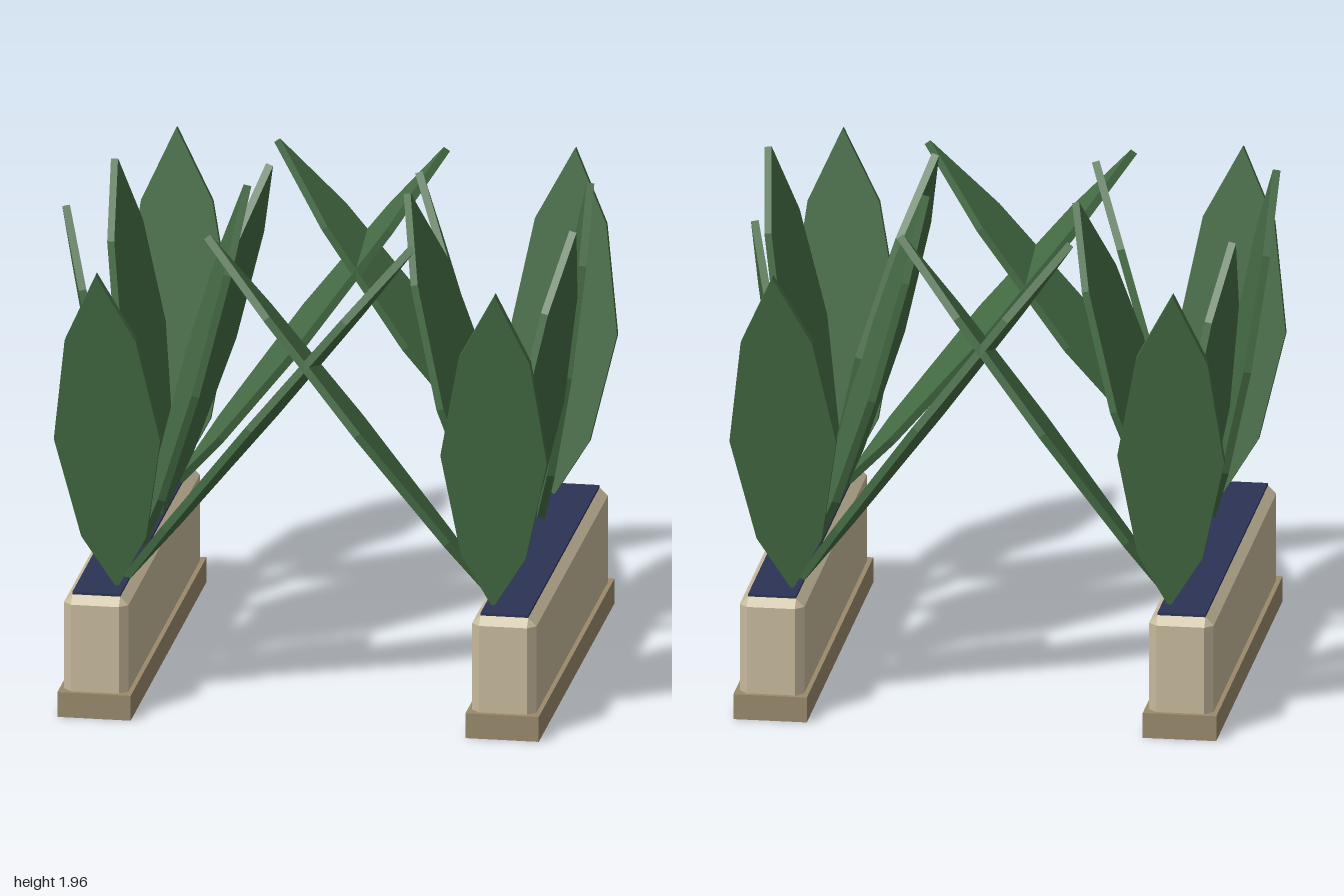
import * as THREE from 'three';
import { ConvexGeometry } from 'three/addons/geometries/ConvexGeometry.js';

const material = (name, color) => {
  const m = new THREE.MeshStandardMaterial({ color });
  m.name = name;
  return m;
};

// Box with every edge cut at 45 degrees
function chamferedBox(w, h, d, c) {
  const points = [];
  for (const x of [-1, 1]) for (const y of [-1, 1]) for (const z of [-1, 1]) {
    for (let full = 0; full < 3; full++) {
      const inset = [0, 1, 2].map((axis) => (axis === full ? 0 : c));
      points.push(new THREE.Vector3(
        x * (w / 2 - inset[0]), y * (h / 2 - inset[1]), z * (d / 2 - inset[2])));
    }
  }
  return new ConvexGeometry(points);
}

// Pointed, flat leaf blade standing on its lower tip
function leafGeometry(length, halfWidth, thickness) {
  const side = [[0.61, 0.165], [1, 0.475], [0.67, 0.79]];
  const right = side.map(([w, t]) => [w * halfWidth, t * length]);
  const left = right.map(([w, y]) => [-w, y]).reverse();
  const outline = [[0, 0], ...right, [0, length], ...left];
  const shape = new THREE.Shape(outline.map(([x, y]) => new THREE.Vector2(x, y)));
  return new THREE.ExtrudeGeometry(shape, { depth: thickness, bevelEnabled: false })
    .translate(0, 0, -thickness / 2);
}

// Blade from base to tip; across is the rough direction of its width
function makeLeaf(base, tip, across, halfWidth, mat) {
  const axis = tip.clone().sub(base);
  const length = axis.length();
  axis.normalize();
  const width = across.clone().addScaledVector(axis, -across.dot(axis)).normalize();
  const normal = width.clone().cross(axis);
  const leaf = new THREE.Mesh(leafGeometry(length, halfWidth, 0.03), mat);
  leaf.quaternion.setFromRotationMatrix(new THREE.Matrix4().makeBasis(width, axis, normal));
  leaf.position.copy(base);
  return leaf;
}

// Leaves of the left planter: base, tip, width direction, half width
const LEAVES = [
  ['frontEndLeaf', [0.73, 0.48, 0.7], [0.775, 1.81, 0.93], [1, 0, 0], 0.207],
  ['backEndLeaf', [0.73, 0.48, -0.7], [0.775, 1.81, -0.93], [1, 0, 0], 0.207],
  ['frontOuterLeaf', [0.73, 0.48, 0.38], [0.985, 1.9, 0.38], [-0.25, 0, 1], 0.215],
  ['backOuterLeaf', [0.73, 0.48, -0.38], [0.925, 1.85, -0.38], [-0.25, 0, -1], 0.207],
  ['frontInnerLeaf', [0.72, 0.48, 0.2], [0.31, 1.96, 0.2], [-0.24, 0, 1], 0.23],
  ['backInnerLeaf', [0.72, 0.48, -0.19], [0.29, 1.92, -0.19], [-0.24, 0, -1], 0.22],
  ['frontCrossingLeaf', [0.72, 0.48, 0.6], [-0.4, 1.875, 0.6], [0.22, 0, 1], 0.175],
  ['backCrossingLeaf', [0.72, 0.48, -0.6], [-0.33, 1.885, -0.6], [0.22, 0, -1], 0.175],
];

export function createModel() {
  const model = new THREE.Group();
  model.name = 'planterPair';
  const stone = material('lightStone', 0xc7ba9c);
  const plinthStone = material('darkStone', 0x9a8a6c);
  const soilBlue = material('darkBlueSoil', 0x2c3354);
  const green = material('leafGreen', 0x456d45);

  for (const s of [1, -1]) {
    const planter = new THREE.Group();
    planter.name = s > 0 ? 'leftPlanter' : 'rightPlanter';
    const add = (name, geometry, mat, y) => {
      const mesh = new THREE.Mesh(geometry, mat);
      mesh.name = name;
      mesh.position.set(s * 0.793, y, 0);
      planter.add(mesh);
    };
    // Trough
    add('plinth', new THREE.BoxGeometry(0.285, 0.1, 1.75), plinthStone, 0.05);
    add('trough', chamferedBox(0.25, 0.46, 1.71, 0.032), stone, 0.25);
    add('soil', new THREE.BoxGeometry(0.186, 0.02, 1.645), soilBlue, 0.48);

    // Leaves, mirrored for the other planter
    const point = ([x, y, z]) => new THREE.Vector3(s * x, y, z);
    for (const [name, base, tip, across, halfWidth] of LEAVES) {
      const leaf = makeLeaf(point(base), point(tip), point(across), halfWidth, green);
      leaf.name = name;
      planter.add(leaf);
    }
    model.add(planter);
  }
  return model;
}
